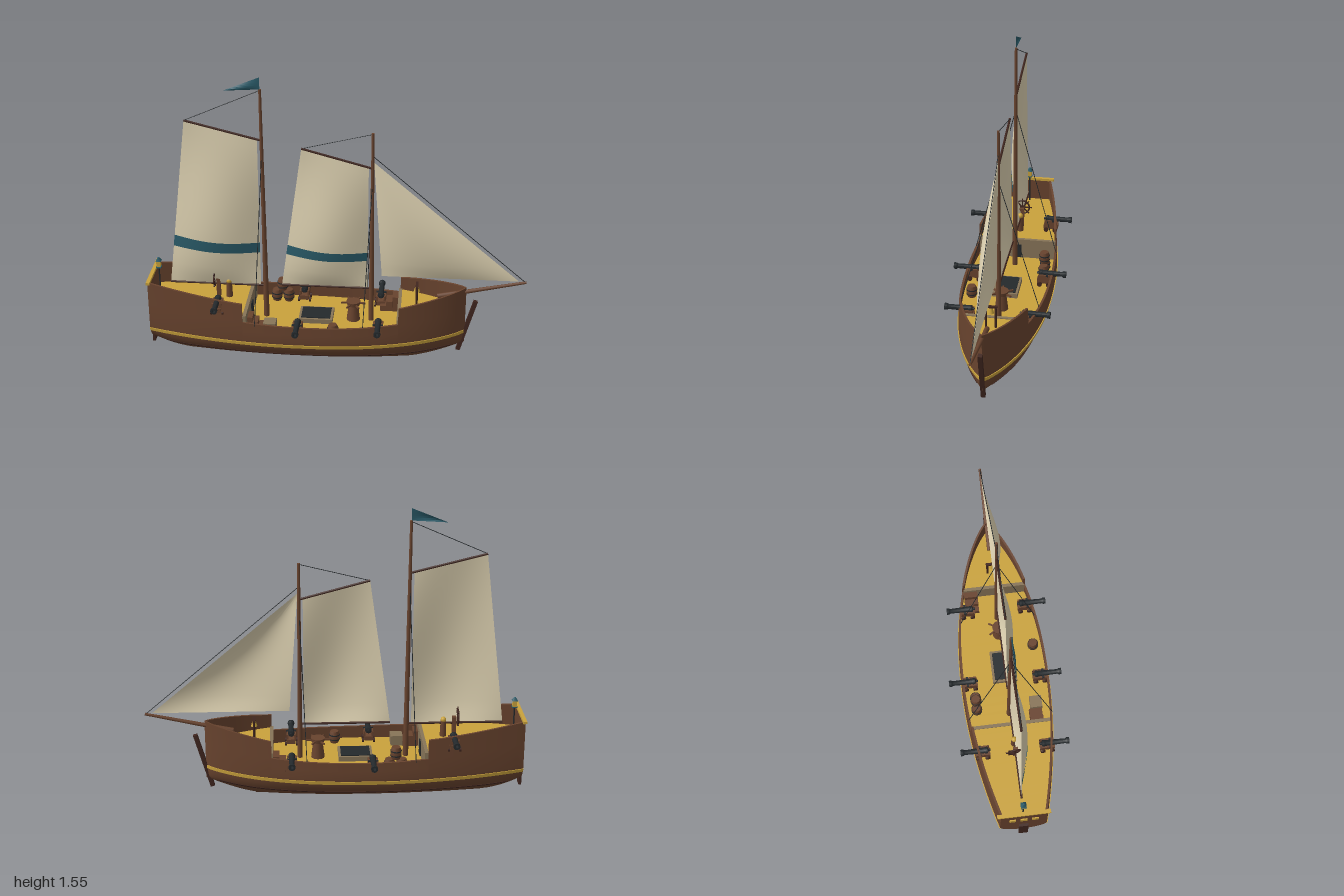
import * as THREE from 'three';
import { toCreasedNormals } from 'three/addons/utils/BufferGeometryUtils.js';

const mat = (name, color) => new THREE.MeshStandardMaterial({ name, color, side: THREE.DoubleSide });
const V = (x, y, z = 0) => new THREE.Vector3(x, y, z);

export function createModel() {
  const ship = new THREE.Group();
  ship.name = 'sailingShip';
  const wood = mat('hull brown', 0x68432e), dark = mat('dark wood', 0x40261f), gold = mat('golden planks', 0xc9a23c);
  const taupe = mat('weathered wood', 0x877458), iron = mat('black iron', 0x24292c);
  const canvas = mat('sail canvas', 0xdcd0b0), teal = mat('teal cloth', 0x2a5b69);

  const add = (name, geo, material, x = 0, y = 0, z = 0, parent = ship) => {
    const m = new THREE.Mesh(geo, material);
    m.name = name;
    m.position.set(x, y, z);
    parent.add(m);
    return m;
  };
  const box = (name, m, w, h, d, x, y, z, parent) => add(name, new THREE.BoxGeometry(w, h, d), m, x, y, z, parent);
  const cyl = (name, m, r1, r2, h, x, y, z, parent, n = 12) => add(name, new THREE.CylinderGeometry(r1, r2, h, n), m, x, y, z, parent);
  const rod = (name, m, a, b, r, r2 = r, n = 8) => {
    const o = cyl(name, m, r2, r, a.distanceTo(b), 0, 0, 0, ship, n);
    o.position.copy(a).lerp(b, 0.5);
    o.quaternion.setFromUnitVectors(V(0, 1), b.clone().sub(a).normalize());
    return o;
  };
  // Surface through rows of points
  const skin = (rows, crease = 0.6) => {
    const n = rows[0].length, idx = [];
    for (let i = 0; i < rows.length - 1; i++) for (let j = 0; j < n - 1; j++) {
      const a = i * n + j, b = a + n;
      idx.push(a, b, a + 1, b, b + 1, a + 1);
    }
    const g = new THREE.BufferGeometry().setFromPoints(rows.flat());
    g.setIndex(idx);
    return toCreasedNormals(g, crease);
  };
  const range = (a, b, n) => Array.from({ length: n + 1 }, (_, i) => a + (b - a) * i / n);

  // Hull lines: plan width, keel rise, section width and sheer
  const STERN = -0.985, BOW = 0.69, AFT = -0.47, FORE = 0.34;
  const plan = x => x > -0.2 ? 0.243 * Math.pow(Math.max(0, 1 - Math.pow((x + 0.2) / 0.89, 2.4)), 0.8)
    : 0.243 * (1 - 0.48 * Math.pow((-0.2 - x) / 0.785, 1.9));
  const bottom = x => 0.015 + (x < -0.75 ? 0.06 * ((-0.75 - x) / 0.235) ** 2 : x > 0.4 ? 0.075 * ((x - 0.4) / 0.29) ** 1.5 : 0);
  const half = (x, y) => {
    const b = bottom(x), t = Math.min(1, Math.max(0, (y - b) / (0.18 - b)));
    return plan(x) * Math.sqrt(1 - (1 - t) ** 2) * (1 - Math.max(0, y - 0.18) * 0.2);
  };
  const aftTop = x => 0.385 + 0.05 * ((AFT - x) / 0.515) ** 1.2;
  const midTop = x => 0.268 + 0.012 * ((x + 0.065) / 0.405) ** 2;
  const foreTop = x => 0.372 + 0.048 * (x - FORE) / 0.35;

  // Hull shell with bulwarks and stepped rail
  const section = (x, top, deck) => {
    const lower = range(0, 1, 10).map(t => bottom(x) + (0.18 - bottom(x)) * t * t);
    const pts = [...lower, 0.18 + (top - 0.18) / 2, top].map(y => V(x, y, half(x, y)));
    const inner = y => V(x, y, Math.max(0, half(x, y) - 0.012));
    pts.push(inner(top), inner(deck));
    return [...pts.map(p => V(p.x, p.y, -p.z)).reverse(), ...pts.slice(1)];
  };
  const bowXs = [...range(FORE, 0.62, 10), 0.64, 0.655, 0.667, 0.677, 0.685, BOW];
  add('hull', skin([
    ...range(STERN, AFT, 14).map(x => section(x, aftTop(x), 0.2)),
    ...range(AFT, FORE, 20).map(x => section(x, midTop(x), 0.18)),
    ...bowXs.map(x => section(x, foreTop(x), 0.2)),
  ]), wood);

  // Transom, its rail and windows
  const edge = range(bottom(STERN), aftTop(STERN), 24).map(y => [half(STERN, y), y]);
  const outline = [...edge, ...edge.slice(1).reverse().map(([z, y]) => [-z, y])].map(p => new THREE.Vector2(...p));
  add('transom', new THREE.ExtrudeGeometry(new THREE.Shape(outline), { depth: 0.015, bevelEnabled: false })
    .rotateY(-Math.PI / 2), wood, STERN + 0.015);
  box('sternRail', gold, 0.02, 0.014, 0.28, STERN + 0.006, 0.438, 0);
  for (const z of [-0.06, 0, 0.06]) box('sternWindow', gold, 0.008, 0.04, 0.035, STERN - 0.002, 0.33, z);

  // Raised bands along the hull
  const band = (name, m, x0, x1, y0, y1, out) => {
    const xs = range(x0, x1, 40).concat(x1 === BOW ? [0.66, 0.675, 0.684] : []).sort((a, b) => a - b);
    for (const s of [1, -1]) add(name, skin(xs.map(x => {
      const pts = [[y0, 0], [y0, out], [y1, out], [y1, 0]].map(([y, o]) => V(x, y, s * (half(x, y) + o)));
      return s > 0 ? pts : pts.reverse();
    })), m);
  };
  band('goldStripe', gold, STERN, BOW, 0.15, 0.168, 0.005);
  band('bilgeWale', dark, -0.9, 0.62, 0.086, 0.094, 0.005);

  // Decks and bulkheads
  const deck = (name, xs, y) => add(name, skin(xs.map(x => [V(x, y, Math.max(0, half(x, y) - 0.006)), V(x, y, -Math.max(0, half(x, y) - 0.006))])), gold);
  deck('quarterDeck', range(STERN + 0.01, AFT + 0.01, 12), 0.31);
  deck('mainDeck', range(AFT, FORE, 16), 0.2);
  deck('foreDeck', bowXs, 0.3);
  box('aftBulkhead', taupe, 0.018, 0.115, 2 * half(AFT, 0.25) - 0.016, AFT + 0.009, 0.257, 0);
  box('foreBulkhead', taupe, 0.018, 0.105, 2 * half(FORE, 0.25) - 0.016, FORE, 0.252, 0);
  box('cabinDoor', iron, 0.008, 0.08, 0.05, AFT + 0.02, 0.242, 0);

  // Keel, stem and rudder
  box('keel', dark, 1.21, 0.022, 0.02, -0.175, 0.011, 0);
  const stem = box('stemPost', dark, 0.022, 0.31, 0.022, 0.7, 0.19, 0);
  stem.rotation.z = -0.27;
  box('rudder', dark, 0.014, 0.195, 0.05, -0.993, 0.118, 0);

  // Masts, bowsprit and rigging
  rod('mainMast', wood, V(-0.372, 0.2), V(-0.377, 1.49), 0.015, 0.007, 12);
  rod('foreMast', wood, V(0.19, 0.2), V(0.187, 1.275), 0.014, 0.007, 12);
  rod('bowsprit', wood, V(0.54, 0.362), V(0.998, 0.464), 0.013, 0.007, 12);
  rod('forestay', iron, V(0.19, 1.15), V(0.99, 0.467), 0.002);
  rod('mainTopLift', iron, V(-0.765, 1.314), V(-0.377, 1.485), 0.0018);
  rod('foreTopLift', iron, V(-0.172, 1.18), V(0.187, 1.27), 0.0018);
  for (const s of [1, -1]) {
    rod('mainShroud', iron, V(-0.405, 0.265, s * 0.23), V(-0.377, 1.14), 0.002);
    rod('foreShroud', iron, V(0.157, 0.265, s * 0.208), V(0.187, 1), 0.002);
  }

  // Sails: bilinear between corners with a belly towards +z
  const cloth = (name, m, [bl, br, tl, tr], v0, v1, belly, lift = 0) => add(name, skin(range(0, 1, 16).map(u => range(v0, v1, 16).map(v => {
    const p = bl.clone().lerp(br, u).lerp(tl.clone().lerp(tr, u), v);
    p.z += belly * Math.sin(Math.PI * u) * Math.sin(Math.PI * v ** 0.75) + lift;
    return p;
  })), 1), m);
  const gaffSail = (name, c) => {
    cloth(name, canvas, c, 0, 1, 0.055);
    cloth(name + 'Stripe', teal, c, 0.236, 0.304, 0.055, 0.003);
    rod(name + 'Boom', dark, c[0], c[1].clone().add(V(0.018, 0)), 0.006);
    rod(name + 'Gaff', dark, c[2], c[3].clone().add(V(0.018, -0.004)), 0.006);
  };
  gaffSail('mainSail', [V(-0.884, 0.385), V(-0.398, 0.385), V(-0.767, 1.313), V(-0.398, 1.222)]);
  gaffSail('foreSail', [V(-0.286, 0.393), V(0.168, 0.393), V(-0.174, 1.18), V(0.168, 1.088)]);
  cloth('jib', canvas, [V(0.243, 0.468), V(0.96, 0.468), V(0.195, 1.115), V(0.197, 1.115)], 0, 1, 0.045);
  cloth('pennant', teal, [V(-0.56, 1.478), V(-0.378, 1.49), V(-0.56, 1.479), V(-0.378, 1.553)], 0, 1, 0.008);

  // Cannons, mirrored on both sides
  const barrelShape = [[0, -0.088], [0.007, -0.086], [0.007, -0.076], [0.018, -0.072], [0.018, -0.06], [0.016, -0.056],
    [0.013, 0.05], [0.018, 0.058], [0.018, 0.072], [0.008, 0.072], [0.008, 0.05]].map(p => new THREE.Vector2(...p));
  const barrelGeo = toCreasedNormals(new THREE.LatheGeometry(barrelShape, 12).rotateX(Math.PI / 2), 0.6);
  for (const [x, y, muzzle] of [[-0.605, 0.31, 0.29], [-0.185, 0.2, 0.31], [0.235, 0.203, 0.278]]) for (const s of [1, -1]) {
    const g = new THREE.Group();
    g.name = 'cannon';
    g.position.set(x, y, s * (muzzle - 0.072));
    g.rotation.y = s > 0 ? 0 : Math.PI;
    ship.add(g);
    add('barrel', barrelGeo, iron, 0, 0.07, 0, g);
    box('trunnion', iron, 0.054, 0.012, 0.012, 0, 0.066, -0.03, g);
    box('carriageBed', wood, 0.046, 0.025, 0.08, 0, 0.028, -0.045, g);
    for (const e of [1, -1]) {
      box('carriageCheek', wood, 0.01, 0.035, 0.07, e * 0.021, 0.05, -0.045, g);
      for (const z of [-0.07, -0.02]) cyl('truck', dark, 0.013, 0.013, 0.01, e * 0.03, 0.013, z, g).rotation.z = Math.PI / 2;
    }
  }

  // Hatch, capstan, steps, crate and barrels on the main deck
  box('hatchCoaming', taupe, 0.18, 0.026, 0.134, -0.103, 0.213, 0);
  box('hatchGrating', iron, 0.155, 0.008, 0.11, -0.103, 0.227, 0);
  cyl('capstanDrum', wood, 0.025, 0.036, 0.09, 0.095, 0.245, 0);
  cyl('capstanHead', wood, 0.038, 0.034, 0.022, 0.095, 0.3, 0);
  for (let i = 0; i < 3; i++) box('capstanBar', wood, 0.13, 0.008, 0.008, 0.095, 0.298, 0).rotation.y = i * Math.PI / 3;
  for (let i = 0; i < 3; i++) {
    const h = 0.085 - i * 0.027;
    box('aftStep', wood, 0.027, h, 0.07, -0.437 + i * 0.028, 0.2 + h / 2, 0.143);
    box('foreStep', wood, 0.032, h, 0.075, 0.315 - i * 0.033, 0.2 + h / 2, -0.133);
  }
  box('crate', taupe, 0.065, 0.055, 0.065, -0.335, 0.2275, 0.15);
  const caskGeo = new THREE.LatheGeometry([[0, 0], [0.022, 0], [0.029, 0.02], [0.029, 0.045], [0.022, 0.066], [0, 0.066]]
    .map(p => new THREE.Vector2(...p)), 12);
  for (const [x, y, z] of [[-0.337, 0.2, -0.175], [-0.272, 0.2, -0.175], [-0.305, 0.266, -0.175], [0, 0.2, 0.178]]) {
    add('cask', toCreasedNormals(caskGeo, 0.7), wood, x, y, z);
    for (const h of [0.02, 0.045]) cyl('caskHoop', iron, 0.0298, 0.0298, 0.006, x, y + h, z);
  }

  // Steering wheel and compass stand
  add('wheelRim', new THREE.TorusGeometry(0.04, 0.005, 8, 24).rotateY(Math.PI / 2), dark, -0.645, 0.42, 0);
  for (let i = 0; i < 4; i++) box('wheelSpoke', dark, 0.006, 0.108, 0.006, -0.645, 0.42, 0).rotation.x = i * Math.PI / 4;
  box('wheelStand', wood, 0.02, 0.11, 0.025, -0.627, 0.365, 0);
  cyl('compassStand', wood, 0.015, 0.018, 0.085, -0.57, 0.352, 0);
  add('compassCap', new THREE.SphereGeometry(0.015, 12, 8), gold, -0.57, 0.403, 0);

  // Bell frame on the foredeck
  for (const s of [1, -1]) cyl('bellPost', dark, 0.006, 0.006, 0.125, 0.43, 0.362, s * 0.025);
  box('bellBeam', dark, 0.014, 0.01, 0.066, 0.43, 0.42, 0);
  cyl('bell', gold, 0.008, 0.017, 0.03, 0.43, 0.4, 0);

  // Stern lantern
  cyl('lanternPost', iron, 0.004, 0.004, 0.16, -0.945, 0.39, 0);
  box('lanternGlass', gold, 0.022, 0.034, 0.022, -0.945, 0.488, 0);
  box('lanternBase', teal, 0.028, 0.006, 0.028, -0.945, 0.47, 0);
  cyl('lanternCap', teal, 0.005, 0.021, 0.02, -0.945, 0.515, 0, ship, 4).rotation.y = Math.PI / 4;
  return ship;
}
